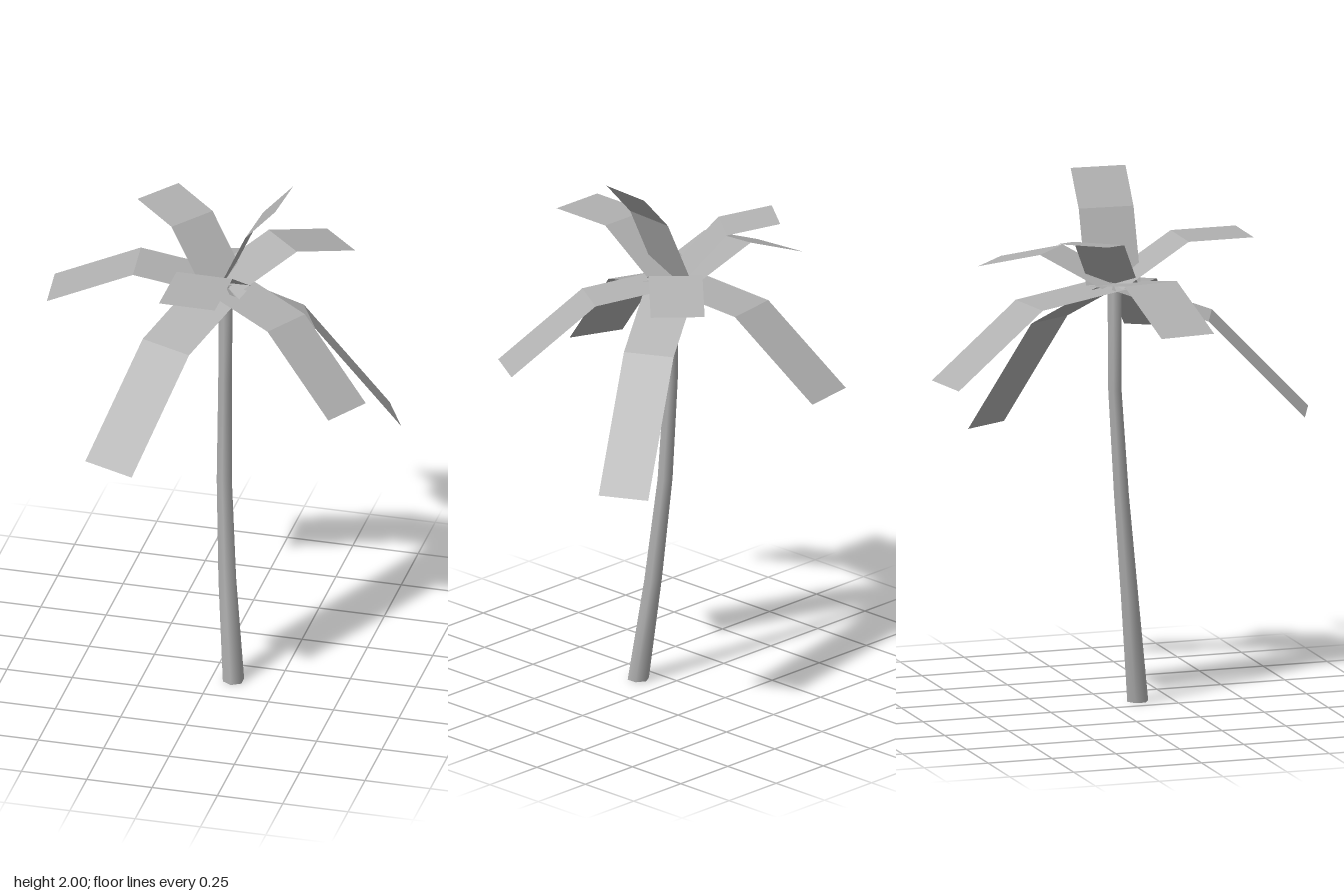
import * as THREE from 'three';

const grey = new THREE.MeshStandardMaterial({ color: 0xb0b0b0, side: THREE.DoubleSide });
grey.name = 'palm grey';

// Bent tapering trunk: six-sided rings stacked along a path of [x, y, z, radius]
function makeTrunk() {
  const path = [
    [0.083, 0, 0.118, 0.041], [0.048, 0.4, 0.075, 0.034], [0.026, 0.8, 0.035, 0.029],
    [0.022, 1.2, 0.008, 0.026], [0.025, 1.61, 0.008, 0.028],
  ];
  const sides = 6, pos = [], index = [];
  for (const [x, y, z, r] of path) {
    for (let i = 0; i < sides; i++) {
      const a = (i / sides) * Math.PI * 2;
      pos.push(x + r * Math.sin(a), y, z + r * Math.cos(a));
    }
  }
  for (let k = 0; k < path.length - 1; k++) {
    for (let i = 0; i < sides; i++) {
      const a = k * sides + i, b = k * sides + (i + 1) % sides;
      index.push(a, b, b + sides, a, b + sides, a + sides);
    }
  }
  const geo = new THREE.BufferGeometry();
  geo.setAttribute('position', new THREE.Float32BufferAttribute(pos, 3));
  geo.setIndex(index);
  geo.computeVertexNormals();
  const trunk = new THREE.Group();
  trunk.name = 'trunk';
  const shaft = new THREE.Mesh(geo, grey);
  shaft.name = 'trunkShaft';
  trunk.add(shaft);
  // End caps
  [path[0], path[path.length - 1]].forEach(([x, y, z, r], i) => {
    const cap = new THREE.Mesh(new THREE.CircleGeometry(r, sides, Math.PI / 2), grey);
    cap.name = i ? 'trunkTop' : 'trunkBase';
    cap.rotation.x = i ? -Math.PI / 2 : Math.PI / 2;
    cap.position.set(x, y, z);
    trunk.add(cap);
  });
  return trunk;
}

// Folded leaf: a strip of constant width through crown, fold and tip
function makeFrond(crown, fold, tip, width) {
  const dx = tip[0] - fold[0], dz = tip[2] - fold[2];
  const s = width / 2 / Math.hypot(dx, dz);
  const edge = ([x, y, z], k) => [x + k * s * dz, y, z - k * s * dx];
  const pos = [];
  for (const [p, q] of [[crown, fold], [fold, tip]]) {
    const a = edge(p, 1), b = edge(p, -1), c = edge(q, -1), d = edge(q, 1);
    pos.push(...a, ...b, ...c, ...a, ...c, ...d);
  }
  const geo = new THREE.BufferGeometry();
  geo.setAttribute('position', new THREE.Float32BufferAttribute(pos, 3));
  geo.computeVertexNormals();
  // Keep the face pointing to the sky
  if (geo.attributes.normal.getY(0) < 0) {
    for (let i = 0; i < pos.length; i += 9) {
      for (let j = 0; j < 3; j++) [pos[i + 3 + j], pos[i + 6 + j]] = [pos[i + 6 + j], pos[i + 3 + j]];
    }
    geo.setAttribute('position', new THREE.Float32BufferAttribute(pos, 3));
    geo.computeVertexNormals();
  }
  return new THREE.Mesh(geo, grey);
}

export function createModel() {
  const palm = new THREE.Group();
  palm.name = 'palmTree';
  palm.add(makeTrunk());

  // Fold and tip centres of each leaf, and its width
  const crown = [0.015, 1.605, 0];
  const fronds = {
    backFrond: [[-0.04, 1.56, -0.348], [-0.095, 1.29, -0.695], 0.215],
    backLeftShortFrond: [[0.194, 1.71, -0.182], [0.37, 1.643, -0.365], 0.2],
    backLeftLongFrond: [[0.305, 1.42, -0.152], [0.594, 0.97, -0.302], 0.192],
    frontLeftFrond: [[0.297, 1.56, 0.165], [0.573, 1.31, 0.331], 0.194],
    frontFrond: [[0.008, 1.77, 0.257], [0.006, 1.77, 0.51], 0.214],
    frontRightFrond: [[-0.12, 1.49, 0.333], [-0.254, 1.13, 0.664], 0.214],
    rightFrond: [[-0.308, 1.67, 0.036], [-0.628, 1.535, 0.073], 0.215],
    backRightFrond: [[-0.134, 1.797, -0.107], [-0.295, 1.83, -0.226], 0.196],
    uprightFrond: [[0.135, 1.87, 0.012], [0.252, 2, 0.02], 0.21],
  };
  const leaves = new THREE.Group();
  leaves.name = 'crown';
  for (const [name, [fold, tip, width]] of Object.entries(fronds)) {
    const leaf = makeFrond(crown, fold, tip, width);
    leaf.name = name;
    leaves.add(leaf);
  }
  palm.add(leaves);
  return palm;
}
